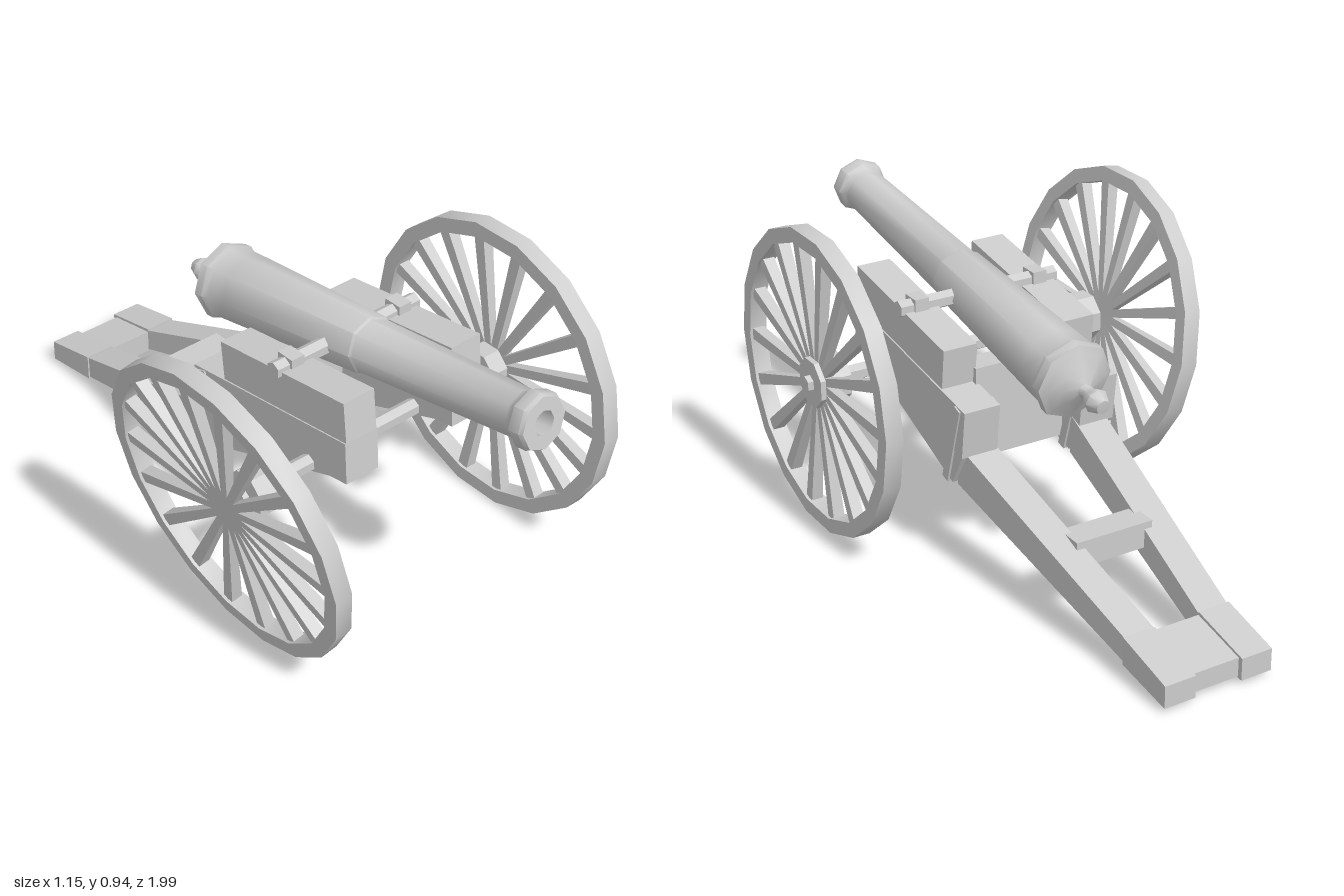
import * as THREE from 'three';
import { toCreasedNormals } from 'three/addons/utils/BufferGeometryUtils.js';

const grey = new THREE.MeshStandardMaterial({ color: 0xcccccc });
grey.name = 'plain grey';

function add(parent, name, geometry, x = 0, y = 0, z = 0) {
  const mesh = new THREE.Mesh(geometry, grey);
  mesh.name = name;
  mesh.position.set(x, y, z);
  parent.add(mesh);
  return mesh;
}

// Side profile in [z, y], extruded between x0 and x1
function slab(points, x0, x1) {
  const shape = new THREE.Shape(points.map(([z, y]) => new THREE.Vector2(z, y)));
  const geo = new THREE.ExtrudeGeometry(shape, { depth: x1 - x0, bevelEnabled: false });
  return geo.rotateY(-Math.PI / 2).translate(x1, 0, 0);
}

// Tapered beam between two rectangular sections: [z, bottom, top, xMin, xMax]
function beam(front, rear) {
  const geo = new THREE.BoxGeometry(1, 1, 1);
  const p = geo.attributes.position;
  for (let i = 0; i < p.count; i++) {
    const s = p.getZ(i) > 0 ? front : rear;
    p.setXYZ(i, p.getX(i) > 0 ? s[4] : s[3], p.getY(i) > 0 ? s[2] : s[1], s[0]);
  }
  geo.computeVertexNormals();
  return geo;
}

// Bar along x with a regular cross-section
function bar(radius, length, sides) {
  const geo = new THREE.CylinderGeometry(radius, radius, length, sides, 1, false, Math.PI / sides);
  return toCreasedNormals(geo.rotateZ(Math.PI / 2), 0.5);
}

function lathe(points, sides) {
  const geo = new THREE.LatheGeometry(points.map(([r, y]) => new THREE.Vector2(r, y)), sides);
  return toCreasedNormals(geo, 0.87);
}

// Spoked wheel whose axis is x
function makeWheel(name) {
  const wheel = new THREE.Group();
  wheel.name = name;
  const inner = 0.425, outer = 0.471, half = 0.0275, count = 18;
  const rim = lathe([[inner, -half], [outer, -half], [outer, half], [inner, half], [inner, -half]], count);
  add(wheel, 'rim', rim.rotateZ(Math.PI / 2));
  for (let i = 0; i < count; i++) {
    const spoke = new THREE.CylinderGeometry(0.026, 0.016, 0.43, 4, 1, false, Math.PI / 4);
    spoke.translate(0, 0.215, 0).rotateX(((i + 0.5) / count) * Math.PI * 2);
    add(wheel, 'spoke', toCreasedNormals(spoke, 0.5));
  }
  return wheel;
}

export function createModel() {
  const model = new THREE.Group();
  model.name = 'fieldCannon';
  const body = new THREE.Group();
  body.name = 'carriage';
  body.position.x = 0.07;
  model.add(body);

  // Barrel with knob, breech ring, step, muzzle lip and bore
  const barrel = add(body, 'barrel', lathe([
    [0, -0.16], [0.022, -0.158], [0.037, -0.125], [0.033, -0.11], [0.02, -0.085], [0.022, -0.065],
    [0.06, -0.045], [0.098, -0.025], [0.12, -0.015], [0.12, 0.015], [0.11, 0.035],
    [0.108, 0.1], [0.088, 0.625], [0.082, 0.632], [0.068, 1.2], [0.073, 1.215],
    [0.084, 1.228], [0.084, 1.262], [0.078, 1.274], [0.037, 1.274], [0.035, 0.95], [0, 0.95],
  ], 8), -0.003, 0.635, -0.27);
  const aim = new THREE.Vector3(0.013, 0.163, 1).normalize();
  barrel.quaternion.setFromUnitVectors(new THREE.Vector3(0, 1, 0), aim);

  // Trunnions through the barrel, and the axle
  add(body, 'trunnions', bar(0.026, 0.53, 6), 0, 0.718, 0.245);
  add(body, 'axle', bar(0.026, 1.01, 6), 0, 0.482, 0.388);

  for (const s of [-1, 1]) {
    const side = new THREE.Group();
    side.name = s > 0 ? 'leftSide' : 'rightSide';
    body.add(side);
    const span = (a, b) => (s > 0 ? [a, b] : [-b, -a]);

    // Stacked cheek timbers
    add(side, 'upperCheek', slab([[0.52, 0.757], [0.535, 0.63], [0.015, 0.552], [0, 0.675]], ...span(0.143, 0.252)));
    add(side, 'lowerCheek', slab([[0.535, 0.632], [0.545, 0.5], [-0.1, 0.38], [-0.12, 0.53]], ...span(0.14, 0.256)));
    add(side, 'cheekWedge', slab([[0.5, 0.495], [-0.04, 0.28], [-0.1, 0.385]], ...span(0.142, 0.254)));

    // Iron band, trunnion strap and axle bracket
    const band = add(side, 'band', new THREE.BoxGeometry(0.126, 0.262, 0.03), s * 0.198, 0.405, -0.045);
    band.rotation.x = -0.3;
    add(side, 'trunnionStrap', new THREE.BoxGeometry(0.045, 0.05, 0.06), s * 0.2, 0.722, 0.245);
    add(side, 'axleBracket', new THREE.BoxGeometry(0.052, 0.06, 0.07), s * 0.2, 0.475, 0.388);

    // Converging trail beam and its foot
    add(side, 'trailBeam', beam([-0.05, 0.275, 0.4, ...span(0.14, 0.242)], [-0.8, 0.055, 0.13, ...span(0.072, 0.168)]));
    add(side, 'trailFoot', beam([-0.8, 0.05, 0.135, ...span(0.072, 0.173)], [-0.995, 0.022, 0.09, ...span(0.075, 0.173)]));

    // Hub
    add(side, 'hub', bar(0.077, 0.1, 8), s * 0.437, 0.482, 0.388);
  }

  // Cross pieces
  add(body, 'mainTransom', new THREE.BoxGeometry(0.3, 0.285, 0.085), 0, 0.455, 0.04);
  add(body, 'trailTransom', new THREE.BoxGeometry(0.25, 0.08, 0.09), 0, 0.22, -0.455);
  add(body, 'trailPlate', beam([-0.8, 0.05, 0.125, -0.08, 0.08], [-0.98, 0.028, 0.086, -0.08, 0.08]));

  // One mounted wheel and one that has slipped off its hub
  const left = makeWheel('leftWheel');
  left.position.set(0.458, 0.48, 0.388);
  const right = makeWheel('rightWheel');
  right.position.set(-0.542, 0.47, 0.388);
  right.rotation.z = 0.171;
  body.add(left, right);

  return model;
}
